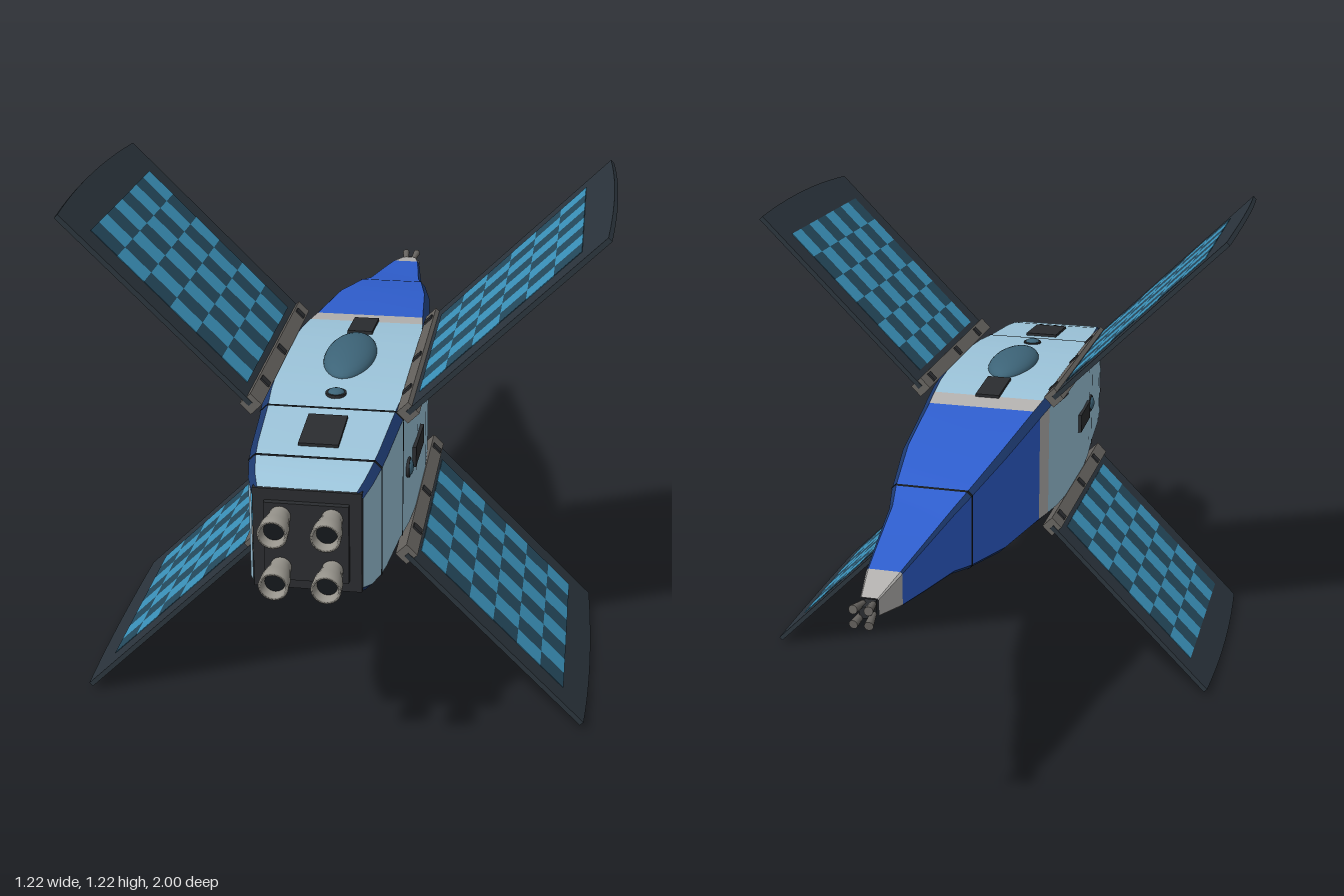
import * as THREE from 'three';
import { toCreasedNormals } from 'three/addons/utils/BufferGeometryUtils.js';

const mat = (color) => new THREE.MeshStandardMaterial({ color });
const M = {
  hull: mat(0x9cc4da), blue: mat(0x2f5fd0), band: mat(0xb4b2b0), edge: mat(0x1d3a70),
  dark: mat(0x2a2c2f), seam: mat(0x14181c), frame: mat(0x2b343c), metal: mat(0x66635f),
  nozzle: mat(0x98958d), glass: mat(0x3d6478), cellA: mat(0x3b94bd), cellB: mat(0x254a5e),
};

// Half-width of the square hull along z
const PROFILE = [[-0.94, 0.02], [-0.84, 0.04], [-0.72, 0.057], [-0.57, 0.077], [-0.49, 0.096],
  [-0.3, 0.129], [-0.05, 0.154], [0, 0.16], [0.1, 0.17], [0.2, 0.175], [0.4, 0.175], [0.5, 0.17],
  [0.6, 0.16], [0.75, 0.149], [0.8, 0.143], [0.86, 0.132], [0.9, 0.118]];

function halfAt(z) {
  let i = 1;
  while (i < PROFILE.length - 1 && PROFILE[i][0] < z) i++;
  const [a, ha] = PROFILE[i - 1], [b, hb] = PROFILE[i];
  return ha + (hb - ha) * (z - a) / (b - a);
}

// Chamfered square section, counter-clockwise; even edges are sides, odd edges are corners
function section(z, grow) {
  const h = halfAt(z) + grow, k = h * 0.89, pts = [];
  for (let q = 0; q < 4; q++) {
    const c = [1, 0, -1, 0][q], s = [0, 1, 0, -1][q];
    for (const t of [-k, k]) pts.push([h * c - t * s, h * s + t * c, z]);
  }
  return pts;
}

function loft(z0, z1, parity, grow = 0) {
  const zs = [z0, ...PROFILE.map((p) => p[0]).filter((z) => z > z0 + 1e-4 && z < z1 - 1e-4), z1];
  const rings = zs.map((z) => section(z, grow)), pos = [];
  for (let r = 0; r < rings.length - 1; r++) {
    for (let i = parity; i < 8; i += 2) {
      const j = (i + 1) % 8, a = rings[r], b = rings[r + 1];
      pos.push(...a[i], ...a[j], ...b[i], ...a[j], ...b[j], ...b[i]);
    }
  }
  const g = new THREE.BufferGeometry();
  g.setAttribute('position', new THREE.Float32BufferAttribute(pos, 3));
  return toCreasedNormals(g, 0.5);
}

function add(parent, name, geometry, material, x = 0, y = 0, z = 0) {
  const m = new THREE.Mesh(geometry, material);
  m.name = name;
  m.position.set(x, y, z);
  parent.add(m);
  return m;
}

function group(parent, name, rotZ = 0) {
  const g = new THREE.Group();
  g.name = name;
  g.rotation.z = rotZ;
  parent.add(g);
  return g;
}

// Plate lying on the face whose outward direction is local +y
function hatch(parent, name, z0, z1, width) {
  const m = add(parent, name, new THREE.BoxGeometry(width, 0.01, z1 - z0), M.dark, 0, halfAt((z0 + z1) / 2) + 0.002, (z0 + z1) / 2);
  m.rotation.x = -Math.atan((halfAt(z1) - halfAt(z0)) / (z1 - z0));
}

function port(parent, z) {
  const y = halfAt(z);
  add(parent, 'portRim', new THREE.CylinderGeometry(0.024, 0.024, 0.008, 20), M.dark, 0, y + 0.001, z);
  add(parent, 'portGlass', new THREE.SphereGeometry(0.02, 16, 8), M.glass, 0, y + 0.003, z).scale.y = 0.5;
}

// Solar wing reaching along local +x
function solarWing(parent, angle) {
  const wing = group(parent, 'solarWing', angle);
  const shape = new THREE.Shape();
  shape.moveTo(0.25, 0);
  shape.lineTo(0.846, 0);
  shape.quadraticCurveTo(0.872, 0.33, 0.842, 0.615);
  shape.lineTo(0.25, 0.615);
  const frame = new THREE.ExtrudeGeometry(shape, { depth: 0.012, bevelEnabled: false, curveSegments: 10 });
  frame.rotateX(Math.PI / 2).translate(0, 0.006, 0);
  add(wing, 'wingFrame', frame, M.frame);

  // Checkered cells show on both faces
  const rows = 6, cols = 8, du = 0.485 / rows, dz = 0.495 / cols;
  const cell = new THREE.BoxGeometry(du, 0.015, dz);
  for (let r = 0; r < rows; r++) {
    for (let c = 0; c < cols; c++) {
      add(wing, 'solarCell', cell, (r + c) % 2 ? M.cellA : M.cellB, 0.283 + (r + 0.5) * du, 0, 0.06 + (c + 0.5) * dz);
    }
  }

  // Hinge rail with clamps
  add(wing, 'hingeRail', new THREE.BoxGeometry(0.036, 0.036, 0.61), M.metal, 0.25, 0, 0.308);
  for (const z of [0.06, 0.31, 0.51]) {
    add(wing, 'hingeClamp', new THREE.BoxGeometry(0.026, 0.044, 0.022), M.dark, 0.25, 0, z);
  }
}

export function createModel() {
  const model = new THREE.Group();
  model.name = 'spacecraft';
  const craft = group(model, 'craft');
  craft.position.y = 0.608;

  // Hull sections and their coloured corner strips
  add(craft, 'noseCap', loft(-0.94, -0.84, 0), M.band);
  add(craft, 'noseCapCorners', loft(-0.94, -0.84, 1), M.band);
  add(craft, 'taperedHull', loft(-0.84, -0.05, 0), M.blue);
  add(craft, 'hullBand', loft(-0.05, 0.02, 0), M.band);
  add(craft, 'mainHull', loft(0.02, 0.9, 0), M.hull);
  add(craft, 'cornerStrips', loft(-0.84, 0.9, 1), M.edge);
  for (const z of [-0.49, 0.58, 0.8]) {
    for (const parity of [0, 1]) add(craft, 'hullSeam', loft(z - 0.004, z + 0.004, parity, 0.0015), M.seam);
  }

  // Engine bulkhead and four nozzles
  add(craft, 'engineBulkhead', new THREE.BoxGeometry(0.232, 0.232, 0.02), M.dark, 0, 0, 0.892);
  add(craft, 'enginePlate', new THREE.BoxGeometry(0.18, 0.18, 0.02), M.dark, 0, 0, 0.905);
  const bell = new THREE.LatheGeometry([[0.012, 0.02], [0.026, 0.09], [0.032, 0.09], [0.031, 0.06],
    [0.023, 0.02], [0.023, 0]].reverse().map((p) => new THREE.Vector2(...p)), 24).rotateX(Math.PI / 2);
  const nozzleMat = M.nozzle.clone();
  nozzleMat.side = THREE.DoubleSide;
  for (const x of [-0.055, 0.055]) {
    for (const y of [-0.06, 0.06]) {
      add(craft, 'engineNozzle', bell, nozzleMat, x, y, 0.91);
      add(craft, 'nozzleThroat', new THREE.CylinderGeometry(0.024, 0.021, 0.03, 20).rotateX(Math.PI / 2), M.seam, x, y, 0.965);
    }
  }

  // Small thruster cluster at the nose
  add(craft, 'noseCore', new THREE.BoxGeometry(0.026, 0.026, 0.04), M.dark, 0, 0, -0.95);
  for (const x of [-1, 1]) {
    for (const y of [-1, 1]) {
      const t = add(craft, 'noseThruster', new THREE.CylinderGeometry(0.007, 0.01, 0.048, 12).rotateX(Math.PI / 2), M.metal, x * 0.014, y * 0.014, -0.972);
      t.rotation.set(y * 0.12, -x * 0.12, 0);
    }
  }

  // Top: hatches, port and canopy
  const top = group(craft, 'topDetails');
  hatch(top, 'rearHatch', 0.01, 0.135, 0.062);
  hatch(top, 'forwardHatch', 0.62, 0.755, 0.088);
  port(top, 0.51);
  add(top, 'canopy', new THREE.SphereGeometry(1, 32, 16), M.glass, 0, 0.173, 0.29).scale.set(0.062, 0.032, 0.142);

  // Left and right: hatch and port
  for (const s of [-1, 1]) {
    const side = group(craft, 'sideDetails', s * Math.PI / 2);
    hatch(side, 'sideHatch', 0.33, 0.465, 0.05);
    port(side, 0.52);
  }

  // Underside: docking ring and port
  const belly = group(craft, 'bellyDetails', Math.PI);
  port(belly, 0.51);
  add(belly, 'dockingRing', new THREE.CylinderGeometry(0.044, 0.044, 0.008, 28), M.dark, 0, 0.176, 0.22);
  add(belly, 'dockingCollar', new THREE.CylinderGeometry(0.024, 0.024, 0.01, 24), M.band, 0, 0.177, 0.22);
  add(belly, 'dockingPort', new THREE.CylinderGeometry(0.014, 0.014, 0.012, 20), M.seam, 0, 0.177, 0.22);

  for (let q = 0; q < 4; q++) solarWing(craft, Math.PI / 4 + q * Math.PI / 2);
  return model;
}
